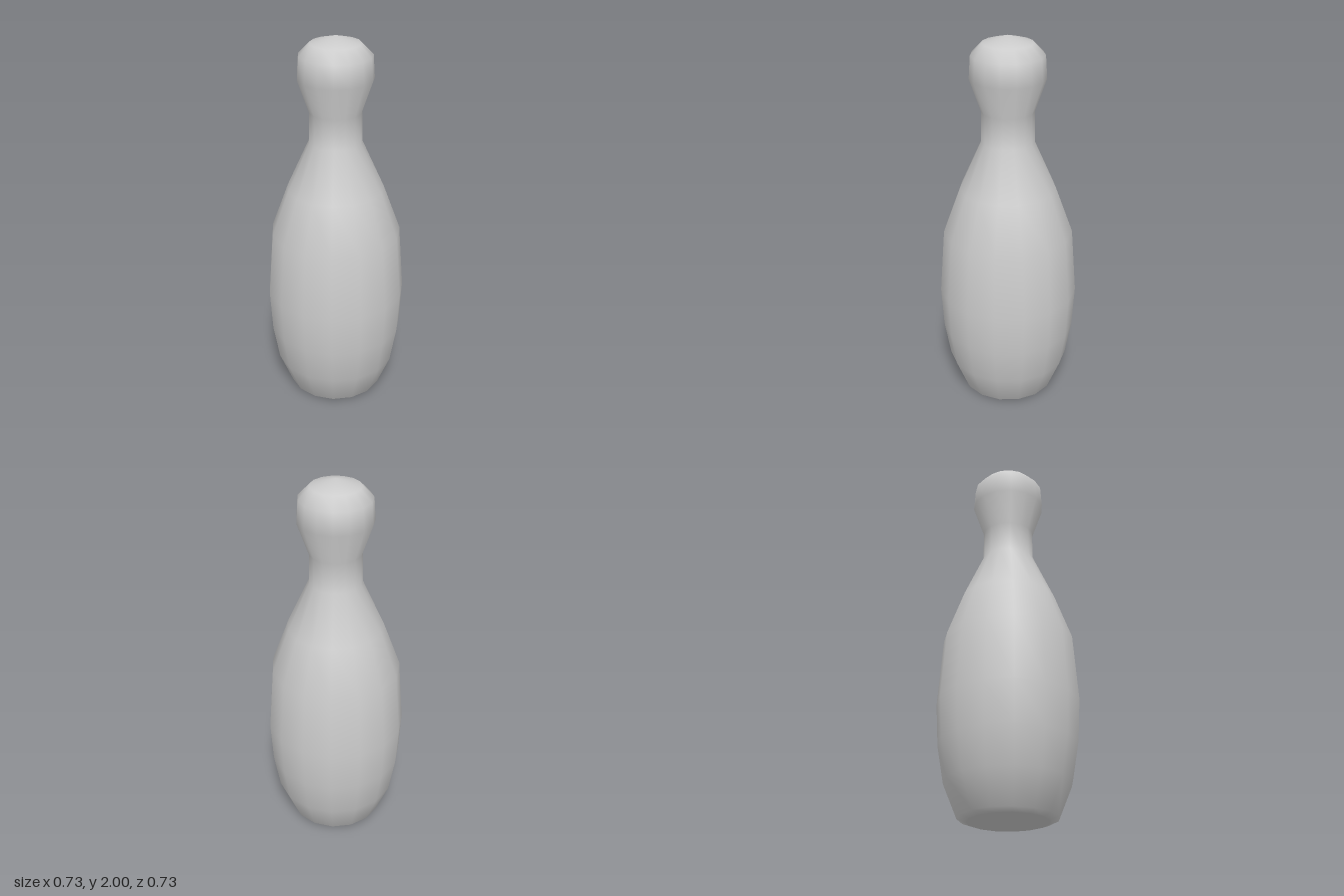
import * as THREE from 'three';

const SIDES = 15;

// Radius and height pairs, from the foot rim to the crown
const PROFILE = [
  [0.208, 0], [0.252, 0.016], [0.323, 0.19], [0.356, 0.385], [0.368, 0.605],
  [0.341, 0.955], [0.252, 1.198], [0.138, 1.453], [0.135, 1.615],
  [0.194, 1.787], [0.186, 1.904], [0.129, 1.963], [0, 2],
];

export function createModel() {
  const group = new THREE.Group();
  group.name = 'bowlingPin';
  const material = new THREE.MeshStandardMaterial({ color: 0xcccccc });

  // Smooth turned body, with one corner of the polygon pointing to +x
  const points = PROFILE.map(([r, y]) => new THREE.Vector2(r, y));
  const bodyGeometry = new THREE.LatheGeometry(points, SIDES, Math.PI / 2);

  // Crown tip: all normals straight up so the top shades as a dome
  const normals = bodyGeometry.attributes.normal;
  for (let i = PROFILE.length - 1; i < normals.count; i += PROFILE.length) {
    normals.setXYZ(i, 0, 1, 0);
  }
  const body = new THREE.Mesh(bodyGeometry, material);
  body.name = 'pinBody';

  // Flat underside, crisp against the rim
  const baseGeometry = new THREE.CircleGeometry(PROFILE[0][0], SIDES);
  baseGeometry.rotateX(Math.PI / 2);
  const base = new THREE.Mesh(baseGeometry, material);
  base.name = 'pinBase';

  group.add(body, base);
  // An odd-sided polygon sits slightly off centre
  group.position.x = -0.004;
  return group;
}
